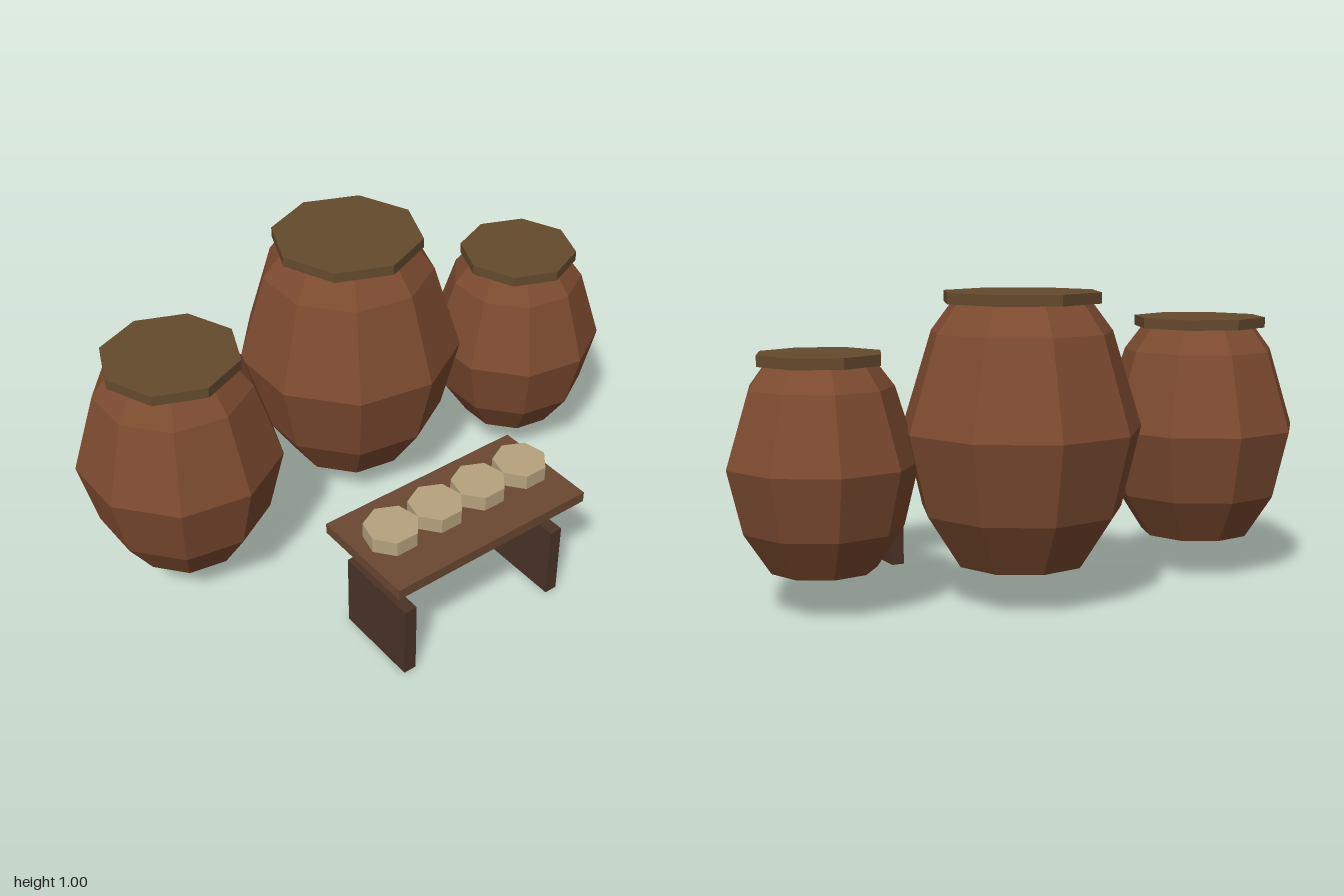
import * as THREE from 'three';

const material = (color) => new THREE.MeshStandardMaterial({ color, flatShading: true });
const woodRed = material(0x7d4b30);
const woodLid = material(0x644a2d);
const woodTable = material(0x6b4830);
const woodDark = material(0x4a3326);
const cupClay = material(0xb5a27e);

function add(parent, name, geometry, mat, x, y, z) {
  const mesh = new THREE.Mesh(geometry, mat);
  mesh.name = name;
  mesh.position.set(x, y, z);
  parent.add(mesh);
  return mesh;
}

// Barrel silhouette as [radius fraction, height fraction]
const PROFILE = [[0, 0], [0.555, 0], [0.84, 0.205], [1, 0.52], [0.755, 0.89], [0.58, 1], [0, 1]];
const BASE = 0.137;
const LID = 0.035;

// Nine-sided barrel with an eight-sided lid
function makeBarrel(name, x, z, radius, lidRadius, top) {
  const barrel = new THREE.Group();
  barrel.name = name;
  barrel.position.set(x, BASE, z);
  const height = top - LID - BASE;
  const points = PROFILE.map(([r, h]) => new THREE.Vector2(r * radius, h * height));
  add(barrel, 'barrelBody', new THREE.LatheGeometry(points, 9, Math.PI / 2), woodRed, 0, 0, 0);
  add(barrel, 'barrelLid', new THREE.CylinderGeometry(lidRadius, lidRadius, LID, 8), woodLid, 0, height + LID / 2, 0);
  return barrel;
}

export function createModel() {
  const model = new THREE.Group();
  model.name = 'barrelsAndTable';

  model.add(
    makeBarrel('rightBarrel', -0.68, -0.19, 0.34, 0.227, 0.895),
    makeBarrel('middleBarrel', 0.083, -0.302, 0.392, 0.26, 1.004),
    makeBarrel('leftBarrel', 0.69, -0.11, 0.308, 0.205, 0.82)
  );

  // Low table: board and two plank legs
  const table = new THREE.Group();
  table.name = 'table';
  table.position.set(-0.073, 0, 0.497);
  model.add(table);
  add(table, 'tableTop', new THREE.BoxGeometry(0.756, 0.037, 0.378), woodTable, 0, 0.402, 0);
  for (const side of [-1, 1]) {
    add(table, side < 0 ? 'rightLeg' : 'leftLeg', new THREE.BoxGeometry(0.045, 0.267, 0.302), woodDark, side * 0.303, 0.1335, 0.003);
  }

  // Row of seven-sided cups
  for (let i = 0; i < 4; i++) {
    const cup = add(table, 'cup' + (i + 1), new THREE.CylinderGeometry(0.09, 0.09, 0.052, 7), cupClay, (i - 1.5) * 0.175, 0.466, 0);
    cup.rotation.y = Math.PI;
  }

  return model;
}
